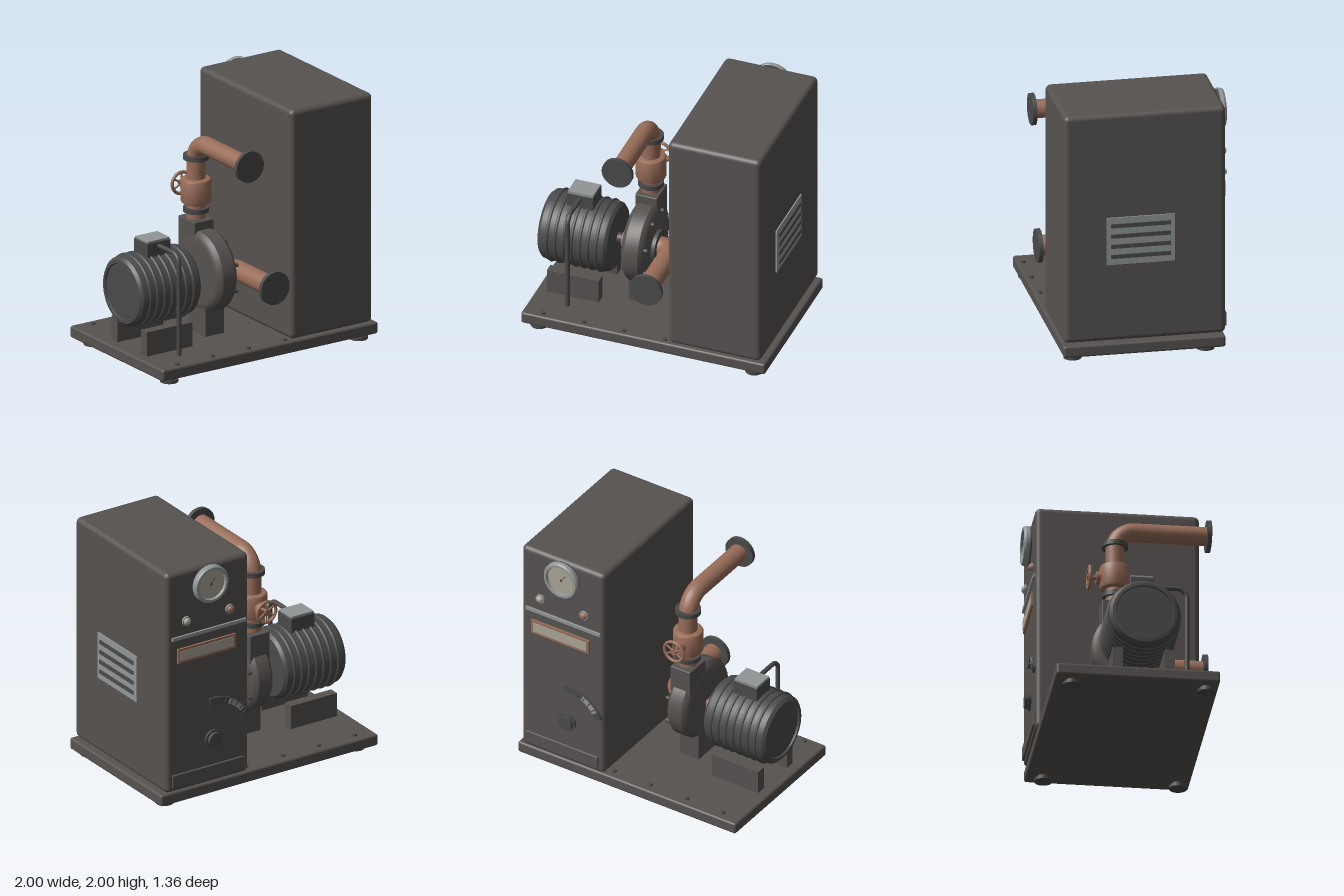
import * as THREE from 'three';
import { toCreasedNormals } from 'three/addons/utils/BufferGeometryUtils.js';
import { RoundedBoxGeometry } from 'three/addons/geometries/RoundedBoxGeometry.js';

const mat = (name, color) => {
  const m = new THREE.MeshStandardMaterial({ color });
  m.name = name;
  return m;
};

export function createModel() {
  const body = mat('warm dark grey', 0x565250);
  const iron = mat('iron grey', 0x4b4a4a);
  const copper = mat('copper', 0x986d59);
  const steel = mat('light steel', 0x929697);
  const dial = mat('dial beige', 0xa9a596);
  const model = new THREE.Group();

  const add = (name, geo, material, x = 0, y = 0, z = 0) => {
    const mesh = new THREE.Mesh(geo, material);
    mesh.name = name;
    mesh.position.set(x, y, z);
    model.add(mesh);
    return mesh;
  };
  // box given by its limits, optionally rounded
  const box = (name, m, [x0, x1], [y0, y1], [z0, z1], r = 0) => {
    const s = [x1 - x0, y1 - y0, z1 - z0];
    const geo = r ? new RoundedBoxGeometry(...s, 4, r) : new THREE.BoxGeometry(...s);
    return add(name, geo, m, (x0 + x1) / 2, (y0 + y1) / 2, (z0 + z1) / 2);
  };
  const turn = (geo, axis) => {
    if (axis === 'x') geo.rotateZ(-Math.PI / 2);
    if (axis === 'z') geo.rotateX(Math.PI / 2);
    return geo;
  };
  // solid cylinder centred on a point
  const cyl = (name, m, axis, r, len, x, y, z, seg = 40) =>
    add(name, turn(new THREE.CylinderGeometry(r, r, len, seg), axis), m, x, y, z);
  // turned part from [radius, along] pairs
  const lathe = (name, m, axis, pts, x, y, z, seg = 48) => {
    const geo = new THREE.LatheGeometry(pts.map(p => new THREE.Vector2(...p)), seg);
    return add(name, turn(toCreasedNormals(geo, 0.55), axis), m, x, y, z);
  };
  // pipe with one rounded corner
  const pipe = (name, m, r, a, corner, b, bend) => {
    const [A, C, B] = [a, corner, b].map(p => new THREE.Vector3(...p));
    const p = C.clone().add(A.clone().sub(C).setLength(bend));
    const q = C.clone().add(B.clone().sub(C).setLength(bend));
    const k = 0.55;
    const path = new THREE.CurvePath();
    path.add(new THREE.LineCurve3(A, p));
    path.add(new THREE.CubicBezierCurve3(p, p.clone().lerp(C, k), q.clone().lerp(C, k), q));
    path.add(new THREE.LineCurve3(q, B));
    return add(name, new THREE.TubeGeometry(path, 64, r, 28), m);
  };

  // base plate, feet and bolts
  box('basePlate', body, [-1, 1], [0.04, 0.135], [-0.61, 0.655], 0.018);
  for (const x of [-0.88, 0.88]) for (const z of [-0.475, 0.565]) {
    cyl('foot', iron, 'y', 0.07, 0.026, x, 0.013, z, 28);
    cyl('footStem', iron, 'y', 0.055, 0.03, x, 0.03, z, 28);
  }
  for (const x of [-0.835, -0.503, -0.17, 0.163]) for (const z of [-0.53, 0.605])
    cyl('baseBolt', iron, 'y', 0.018, 0.02, x, 0.14, z, 12);

  // cabinet and side vent
  box('cabinet', body, [0.2, 0.96], [0.14, 2], [-0.62, 0.645], 0.04);
  box('ventPlate', steel, [0.955, 0.97], [0.77, 1.155], [-0.22, 0.315]);
  for (const y of [0.837, 0.92, 1.004, 1.088])
    box('ventSlot', iron, [0.968, 0.978], [y - 0.016, y + 0.016], [-0.185, 0.28]);

  // pressure gauge on the control face
  cyl('gaugeBack', iron, 'z', 0.15, 0.02, 0.57, 1.84, -0.625);
  const bezel = lathe('gaugeBezel', steel, 'y',
    [[0.155, 0], [0.155, 0.03], [0.145, 0.045], [0.125, 0.045], [0.12, 0.02]], 0.57, 1.84, -0.632);
  bezel.rotation.x = -Math.PI / 2;
  cyl('gaugeDial', dial, 'z', 0.125, 0.02, 0.57, 1.84, -0.645);
  cyl('gaugeHub', iron, 'z', 0.01, 0.006, 0.57, 1.84, -0.657, 16);
  const needle = add('gaugeNeedle', new THREE.BoxGeometry(0.006, 0.07, 0.003), iron, 0.553, 1.863, -0.656);
  needle.rotation.z = 0.62;

  // indicator lamps
  for (const [x, m] of [[0.78, dial], [0.38, copper]]) {
    cyl('lampCollar', steel, 'z', 0.038, 0.02, x, 1.57, -0.626, 24);
    const lamp = add('lamp', new THREE.SphereGeometry(0.03, 20, 12), m, x, 1.57, -0.634);
    lamp.scale.z = 0.8;
  }

  // trim rail, name plate and kick panel
  box('trimRail', steel, [0.23, 0.91], [1.428, 1.455], [-0.636, -0.615]);
  box('plateFrame', copper, [0.33, 0.86], [1.23, 1.35], [-0.636, -0.615]);
  box('plateFace', dial, [0.35, 0.84], [1.25, 1.33], [-0.64, -0.634]);
  box('kickPanel', body, [0.25, 0.91], [0.18, 0.29], [-0.636, -0.615], 0.006);

  // selector knob with its curved scale
  cyl('knobBase', iron, 'z', 0.075, 0.02, 0.53, 0.51, -0.628);
  cyl('knob', iron, 'z', 0.058, 0.04, 0.53, 0.51, -0.646);
  const arc = (name, m, r0, r1, from, to, depth) => {
    const [a, b] = [from, to].map(d => Math.PI - THREE.MathUtils.degToRad(d));
    const s = new THREE.Shape();
    s.absarc(0, 0, r1, b, a, false);
    s.absarc(0, 0, r0, a, b, true);
    const geo = new THREE.ExtrudeGeometry(s, { depth, bevelEnabled: false, curveSegments: 20 });
    add(name, geo, m, 0.53, 0.51, -0.615 - depth);
  };
  arc('scaleTrack', iron, 0.29, 0.345, 24, 96, 0.022);
  arc('scaleInsert', steel, 0.295, 0.34, 36, 64, 0.027);
  for (const d of [30, 40, 50, 60, 70]) arc('scaleTick', iron, 0.3, 0.34, d, d + 1.5, 0.03);

  // motor with cooling ribs, rails and shaft
  const Y = 0.605, Z = 0.075;
  lathe('motorBody', iron, 'x', [[0, -0.975], [0.22, -0.975], [0.225, -0.99], [0.25, -0.988], [0.272, -0.965],
    [0.278, -0.93], [0.278, -0.48], [0.272, -0.445], [0.25, -0.422], [0.12, -0.42], [0, -0.42]], 0, Y, Z);
  for (let i = 0; i < 7; i++) {
    const rib = add('motorRib', new THREE.TorusGeometry(0.276, 0.014, 8, 56), iron, -0.905 + i * 0.067, Y, Z);
    rib.rotation.y = Math.PI / 2;
  }
  for (const z of [-0.125, 0.275])
    box('motorRail', body, [-0.915, -0.49], [0.13, 0.33], [z - 0.04, z + 0.04]);
  cyl('motorShaft', iron, 'x', 0.04, 0.14, -0.36, Y, Z, 24);
  lathe('coupling', copper, 'x', [[0, -0.028], [0.065, -0.028], [0.073, -0.02], [0.073, 0.02],
    [0.065, 0.028], [0, 0.028]], -0.348, Y, Z, 36);

  // junction box and cable conduit
  box('junctionBox', iron, [-0.81, -0.59], [0.83, 0.985], [-0.02, 0.165], 0.008);
  box('junctionLid', steel, [-0.803, -0.597], [0.983, 0.997], [-0.012, 0.158]);
  pipe('conduit', iron, 0.018, [-0.7, 0.95, 0.15], [-0.7, 0.95, 0.435], [-0.7, 0.13, 0.435], 0.08);

  // pump casing with cover, bolts and outlet neck
  lathe('pumpCasing', body, 'x', [[0, -0.095], [0.24, -0.095], [0.27, -0.095], [0.3, -0.08], [0.32, -0.055],
    [0.32, 0.055], [0.3, 0.08], [0.27, 0.095], [0, 0.095]], -0.202, 0.63, Z);
  box('pumpFoot', body, [-0.29, -0.12], [0.13, 0.36], [Z - 0.12, Z + 0.12]);
  box('pumpNeck', body, [-0.293, -0.112], [0.78, 1.02], [-0.17, 0.05], 0.008);
  cyl('suctionFlange', iron, 'x', 0.13, 0.04, -0.097, Y, Z);
  for (let i = 0; i < 8; i++) {
    const a = (i + 0.5) * Math.PI / 4;
    cyl('casingBolt', iron, 'x', 0.016, 0.03, -0.1, 0.615 + 0.275 * Math.cos(a), Z + 0.275 * Math.sin(a), 10);
  }

  // suction and discharge pipes with end flanges
  pipe('suctionPipe', copper, 0.08, [-0.1, Y, Z], [0.03, Y, Z], [0.03, Y, 0.655], 0.11);
  pipe('dischargePipe', copper, 0.073, [-0.203, 1.0, -0.06], [-0.203, 1.637, -0.06], [-0.203, 1.637, 0.655], 0.15);
  cyl('suctionEndFlange', iron, 'z', 0.132, 0.034, 0.03, Y, 0.661);
  cyl('dischargeEndFlange', iron, 'z', 0.125, 0.034, -0.203, 1.637, 0.661);
  for (const y of [1.087, 1.513]) cyl('pipeCollar', iron, 'y', 0.1, 0.037, -0.203, y, -0.06);

  // valve with handwheel
  lathe('valveBody', copper, 'y', [[0.07, -0.1], [0.1, -0.1], [0.112, -0.094], [0.118, -0.082],
    [0.118, 0.082], [0.112, 0.094], [0.1, 0.1], [0.07, 0.1]], -0.203, 1.24, -0.06);
  cyl('valveBonnet', copper, 'z', 0.05, 0.04, -0.203, 1.24, -0.185, 24);
  cyl('valveStem', copper, 'z', 0.018, 0.12, -0.203, 1.24, -0.215, 16);
  add('handwheelRim', new THREE.TorusGeometry(0.086, 0.013, 10, 36), copper, -0.203, 1.24, -0.258);
  cyl('handwheelHub', copper, 'z', 0.026, 0.026, -0.203, 1.24, -0.26, 20);
  for (let i = 0; i < 3; i++) {
    const spoke = cyl('handwheelSpoke', copper, 'y', 0.008, 0.17, -0.203, 1.24, -0.258, 8);
    spoke.rotation.z = i * Math.PI / 3;
  }
  return model;
}
